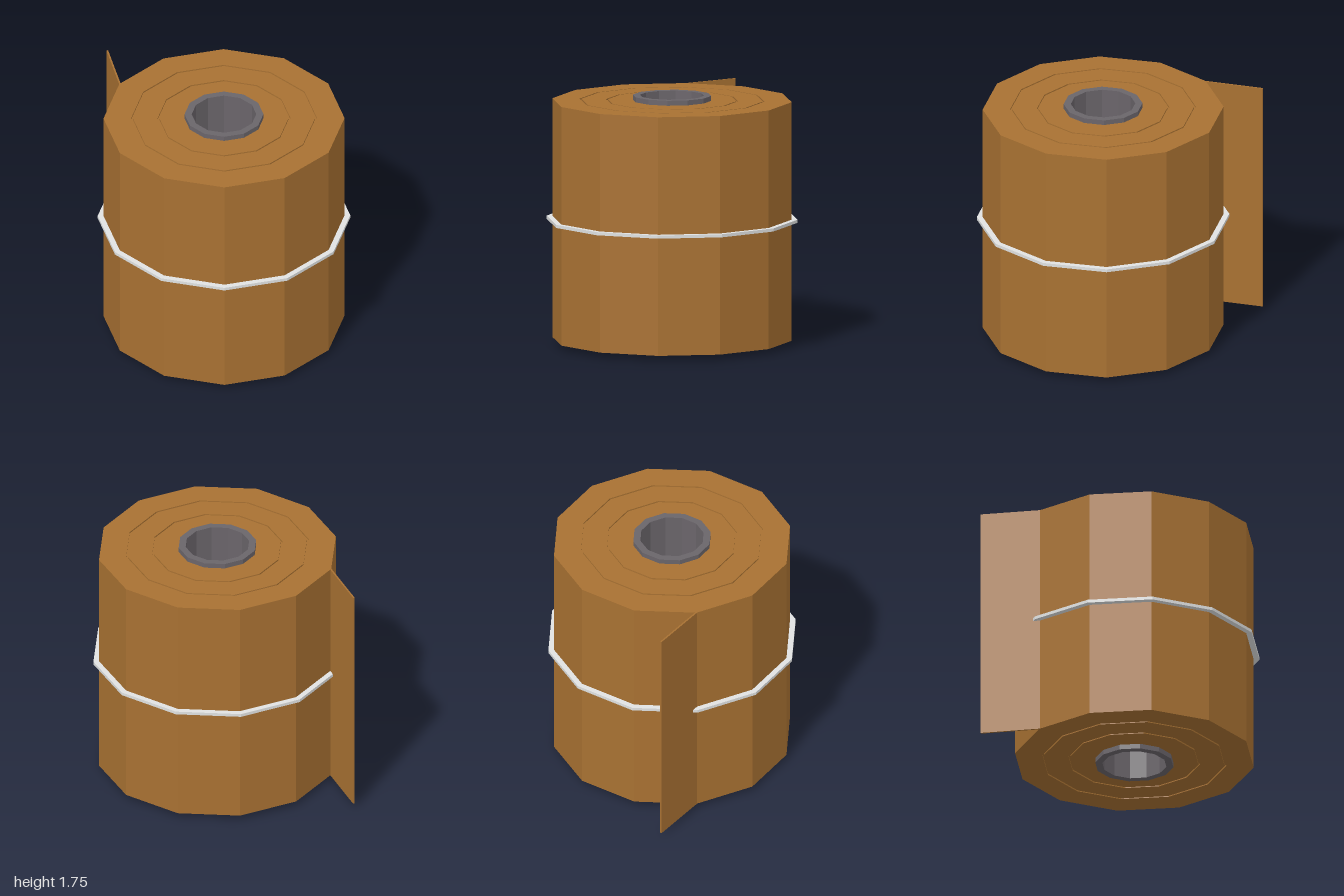
import * as THREE from 'three';

const SIDES = 12;
const CENTRE_X = 0.12;

// Faceted ring swept from a closed [radius, y] outline, outer wall going up
function facetedRing(name, outline, material) {
  const points = [...outline, outline[0]].map(([r, y]) => new THREE.Vector2(r, y));
  const geometry = new THREE.LatheGeometry(points, SIDES).toNonIndexed();
  geometry.computeVertexNormals();
  const mesh = new THREE.Mesh(geometry, material);
  mesh.name = name;
  mesh.position.x = CENTRE_X;
  return mesh;
}

export function createModel() {
  const brown = new THREE.MeshStandardMaterial({ color: 0xa87132 });
  brown.name = 'brown sheet';
  const darkGrey = new THREE.MeshStandardMaterial({ color: 0x6a656a });
  darkGrey.name = 'dark grey core';
  const silver = new THREE.MeshStandardMaterial({ color: 0xe0e2e2 });
  silver.name = 'silver band';

  const group = new THREE.Group();
  group.name = 'sheetRoll';

  // Rolled body with shallow winding grooves on both ends
  const bottom = 0.035, top = 1.715, depth = 0.01;
  const grooves = [[0.635, 0.648], [0.45, 0.463]];
  const topEdge = [[0.84, top]];
  for (const [inner, outer] of grooves) {
    topEdge.push([outer, top], [outer, top - depth], [inner, top - depth], [inner, top]);
  }
  topEdge.push([0.26, top]);
  const bottomEdge = topEdge.map(([r, y]) => [r, top + bottom - y]).reverse();
  group.add(facetedRing('rolledSheet', [...topEdge, ...bottomEdge], brown));

  // Hollow core standing proud of both ends
  group.add(facetedRing('coreTube',
    [[0.275, 0], [0.275, 1.75], [0.225, 1.75], [0.225, 0]], darkGrey));

  // Thin strap around the middle
  group.add(facetedRing('strap',
    [[0.88, 0.866], [0.88, 0.888], [0.83, 0.888], [0.83, 0.866]], silver));

  // Loose end of the sheet
  const start = new THREE.Vector2(-0.715, 0), end = new THREE.Vector2(-0.996, -0.312);
  const flap = new THREE.Mesh(
    new THREE.BoxGeometry(start.distanceTo(end), top - bottom, 0.012), brown);
  flap.name = 'looseEnd';
  flap.position.set((start.x + end.x) / 2, (top + bottom) / 2, (start.y + end.y) / 2);
  flap.rotation.y = -Math.atan2(start.y - end.y, start.x - end.x);
  group.add(flap);

  return group;
}
